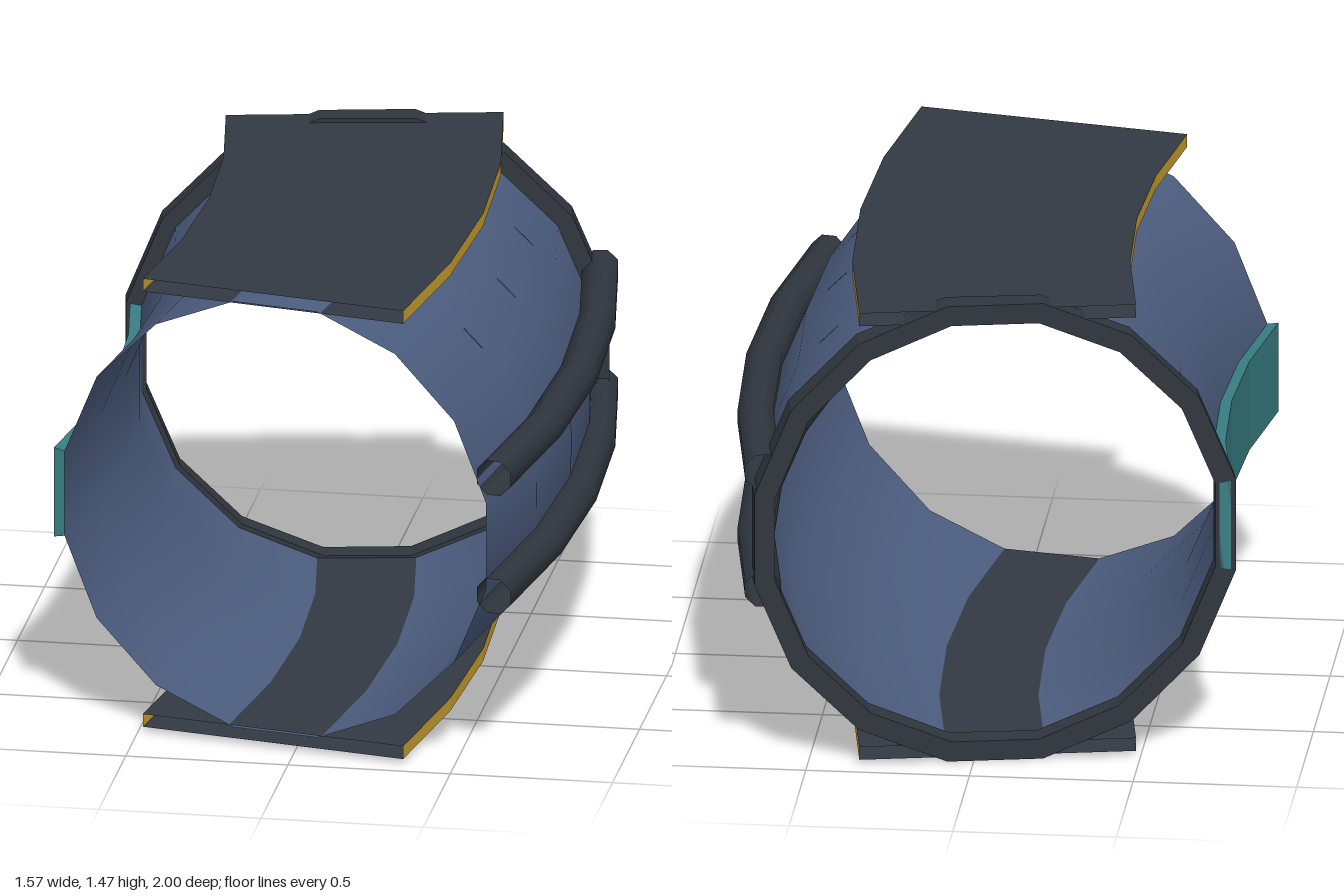
import * as THREE from 'three';
import { mergeGeometries } from 'three/addons/utils/BufferGeometryUtils.js';

const AXIS_X = -4.34;   // vertical bend axis
const BEND_R = 4.36;    // bend radius of the tunnel centre line
const MID_Y = 0.735;
const HALF = THREE.MathUtils.degToRad(11.25);
const SIDES = 16;
const SHELL = 0.685;    // apothem of the shell section

// Point at bend angle t, u outward from the centre line, height y
const bend = (u, y, t) => [AXIS_X + (BEND_R + u) * Math.cos(t), y, (BEND_R + u) * Math.sin(t)];

// Sweep a counter-clockwise [u, y] section around the bend axis
function sweep(section, { closed = false, smooth = false, caps = false, a0 = -HALF, a1 = HALF, steps = 4 } = {}) {
  const n = section.length, pos = [], idx = [];
  for (let j = 0; j <= steps; j++) {
    const t = a0 + (a1 - a0) * j / steps;
    for (const [u, y] of section) pos.push(...bend(u, y, t));
  }
  for (let j = 0; j < steps; j++) {
    for (let i = 0; i < (closed ? n : n - 1); i++) {
      const k = (i + 1) % n;
      const a = j * n + i, b = j * n + k, c = b + n, d = a + n;
      idx.push(a, b, c, a, c, d);
    }
  }
  if (caps) {
    const e = steps * n;
    for (let i = 1; i < n - 1; i++) idx.push(0, i + 1, i, e, e + i, e + i + 1);
  }
  let g = new THREE.BufferGeometry();
  g.setAttribute('position', new THREE.Float32BufferAttribute(pos, 3));
  g.setIndex(idx);
  if (!smooth) g = g.toNonIndexed();
  g.computeVertexNormals();
  return g;
}

// Corner k of the sixteen-sided tunnel section with the given apothem
function corner(apothem, k) {
  const a = (k + 0.5) * 2 * Math.PI / SIDES, r = apothem / Math.cos(Math.PI / SIDES);
  return [r * Math.cos(a), MID_Y + r * Math.sin(a)];
}

export function createModel() {
  const group = new THREE.Group();
  group.name = 'curvedTunnelSection';
  const material = (name, color) => {
    const m = new THREE.MeshStandardMaterial({ color, side: THREE.DoubleSide });
    m.name = name;
    return m;
  };
  const blue = material('shellBlue', 0x4c5d7f);
  const slate = material('plateSlate', 0x333944);
  const dark = material('darkGrey', 0x30363f);
  const gold = material('edgeGold', 0xc99f2e);
  const teal = material('panelTeal', 0x387f83);
  const add = (name, geometry, mat) => {
    const mesh = new THREE.Mesh(geometry, mat);
    mesh.name = name;
    group.add(mesh);
  };

  // Tunnel shell, open at both ends
  const shell = [];
  for (let k = 0; k < SIDES; k++) shell.push(corner(SHELL, k));
  add('shell', sweep(shell, { closed: true, smooth: true }), blue);

  // Raised panel on the inner-bend facet
  const panel = [corner(SHELL, 7), corner(0.72, 7), corner(0.72, 8), corner(SHELL, 8)];
  add('sidePanel', sweep(panel, { caps: true }), teal);

  // Collar around the back end
  const collar = [];
  for (let k = 0; k < SIDES; k++) {
    const quad = [corner(0.672, k), corner(0.735, k), corner(0.735, k + 1), corner(0.672, k + 1)];
    collar.push(sweep(quad, { closed: true, caps: true, steps: 1, a0: -HALF, a1: -HALF + 0.0192 }));
  }
  add('endCollar', mergeGeometries(collar), dark);

  // Floor and roof plates with gold long edges, open at the ends
  const u0 = -0.43, u1 = 0.415;
  for (const [name, y0, y1] of [['roof', 1.416, 1.457], ['floor', 0.015, 0.056]]) {
    const faces = [sweep([[u0, y0], [u1, y0]]), sweep([[u1, y1], [u0, y1]])];
    add(name + 'Plate', mergeGeometries(faces), slate);
    const edges = [sweep([[u1, y0], [u1, y1]]), sweep([[u0, y1], [u0, y0]])];
    add(name + 'PlateEdges', mergeGeometries(edges), gold);
  }

  // Two hollow pipes along the outer bend
  for (const [name, y] of [['upperPipe', 0.955], ['lowerPipe', 0.575]]) {
    const circle = [];
    for (let i = 0; i < 8; i++) {
      const a = (i + 0.5) * Math.PI / 4;
      circle.push([0.709 + 0.059 * Math.cos(a), y + 0.059 * Math.sin(a)]);
    }
    add(name, sweep(circle, { closed: true, smooth: true }), dark);
  }

  // Thin seam marks on the outer-bend facets
  const seams = [];
  for (const t of [-HALF / 2, 0, HALF / 2]) {
    for (const k of [-3, -1, 1]) {
      const a = corner(SHELL + 0.002, k), b = corner(SHELL + 0.002, k + 1);
      const mix = (f) => [a[0] + (b[0] - a[0]) * f, a[1] + (b[1] - a[1]) * f];
      seams.push(sweep([mix(0.35), mix(0.65)], { steps: 1, a0: t - 0.001, a1: t + 0.001 }));
    }
  }
  add('seamMarks', mergeGeometries(seams), dark);

  return group;
}
